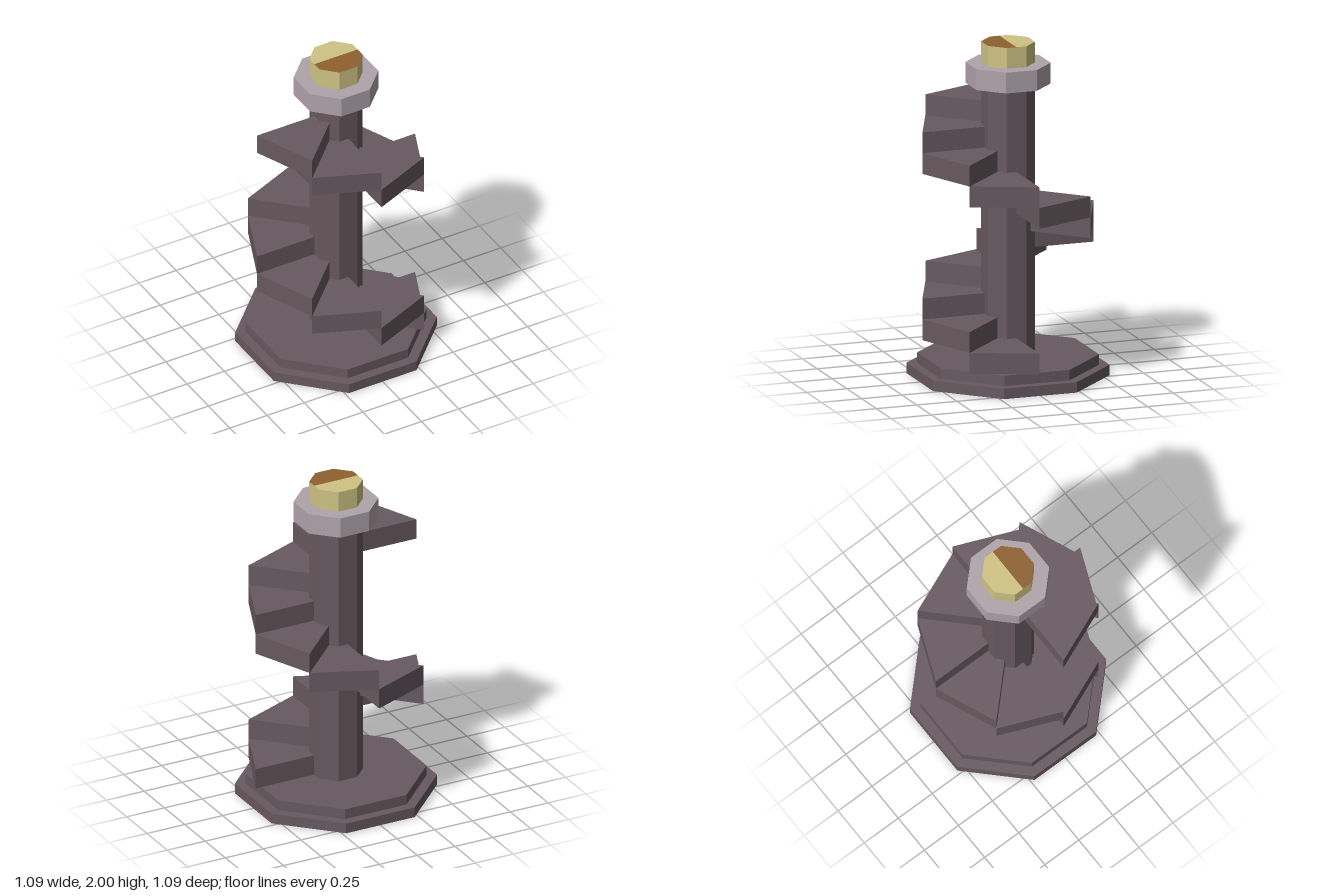
import * as THREE from 'three';

const mat = (name, color) => {
  const m = new THREE.MeshStandardMaterial({ color, side: THREE.DoubleSide, flatShading: true });
  m.name = name;
  return m;
};

// Point [x, z] at a radius and angle, in steps of 45 degrees from +x towards +z
const polar = (r, eighth) => [r * Math.cos(eighth * Math.PI / 4), r * Math.sin(eighth * Math.PI / 4)];

// Octagon with flat sides facing the axes, counter-clockwise seen from above
const octagon = (apothem) =>
  Array.from({ length: 8 }, (_, i) => polar(apothem / Math.cos(Math.PI / 8), 0.5 - i));

// Convex footprint raised from y0 to y1: walls and a top, open underneath
function shell(points, y0, y1, { walls = true, top = true } = {}) {
  const pos = [];
  const tri = (...corners) => corners.forEach(([p, y]) => pos.push(p[0], y, p[1]));
  points.forEach((a, i) => {
    const b = points[(i + 1) % points.length];
    if (walls) {
      tri([a, y0], [b, y0], [b, y1]);
      tri([a, y0], [b, y1], [a, y1]);
    }
    if (top && i > 0 && i < points.length - 1) tri([points[0], y1], [a, y1], [b, y1]);
  });
  const g = new THREE.BufferGeometry();
  g.setAttribute('position', new THREE.Float32BufferAttribute(pos, 3));
  g.computeVertexNormals();
  return g;
}

export function createModel() {
  const model = new THREE.Group();
  model.name = 'spiralStairTower';
  const stone = mat('darkStone', 0x67595f);
  const pale = mat('paleStone', 0xafa3a9);
  const straw = mat('straw', 0xcfc485);
  const brown = mat('brown', 0x8f602e);

  const add = (name, geometry, material, parent = model) => {
    const mesh = new THREE.Mesh(geometry, material);
    mesh.name = name;
    parent.add(mesh);
  };

  // Stepped base, column and collar
  add('lowerBase', shell(octagon(0.547), 0, 0.0625), stone);
  add('upperBase', shell(octagon(0.49), 0.0625, 0.125), stone);
  add('column', shell(octagon(0.145), 0.125, 1.75, { top: false }), stone);
  add('collar', shell(octagon(0.23), 1.75, 1.875), pale);

  // Knob, its top split into two colours along z = 0
  const knob = octagon(0.145);
  const right = [0.145, 0], left = [-0.145, 0];
  add('knobSides', shell(knob, 1.875, 2, { top: false }), straw);
  add('knobTopBack', shell([right, ...knob.slice(1, 5), left], 2, 2, { walls: false }), straw);
  add('knobTopFront', shell([left, ...knob.slice(5), knob[0], right], 2, 2, { walls: false }), brown);

  // Twelve wedge steps, each an eighth of a turn further on
  const stairs = new THREE.Group();
  stairs.name = 'stairs';
  for (let i = 0; i < 12; i++) {
    const y = 0.125 * (i + 1);
    add('step', shell([[0, 0], polar(0.531, i + 1), polar(0.531, i)], y, y + 0.125), stone, stairs);
  }
  model.add(stairs);
  return model;
}
